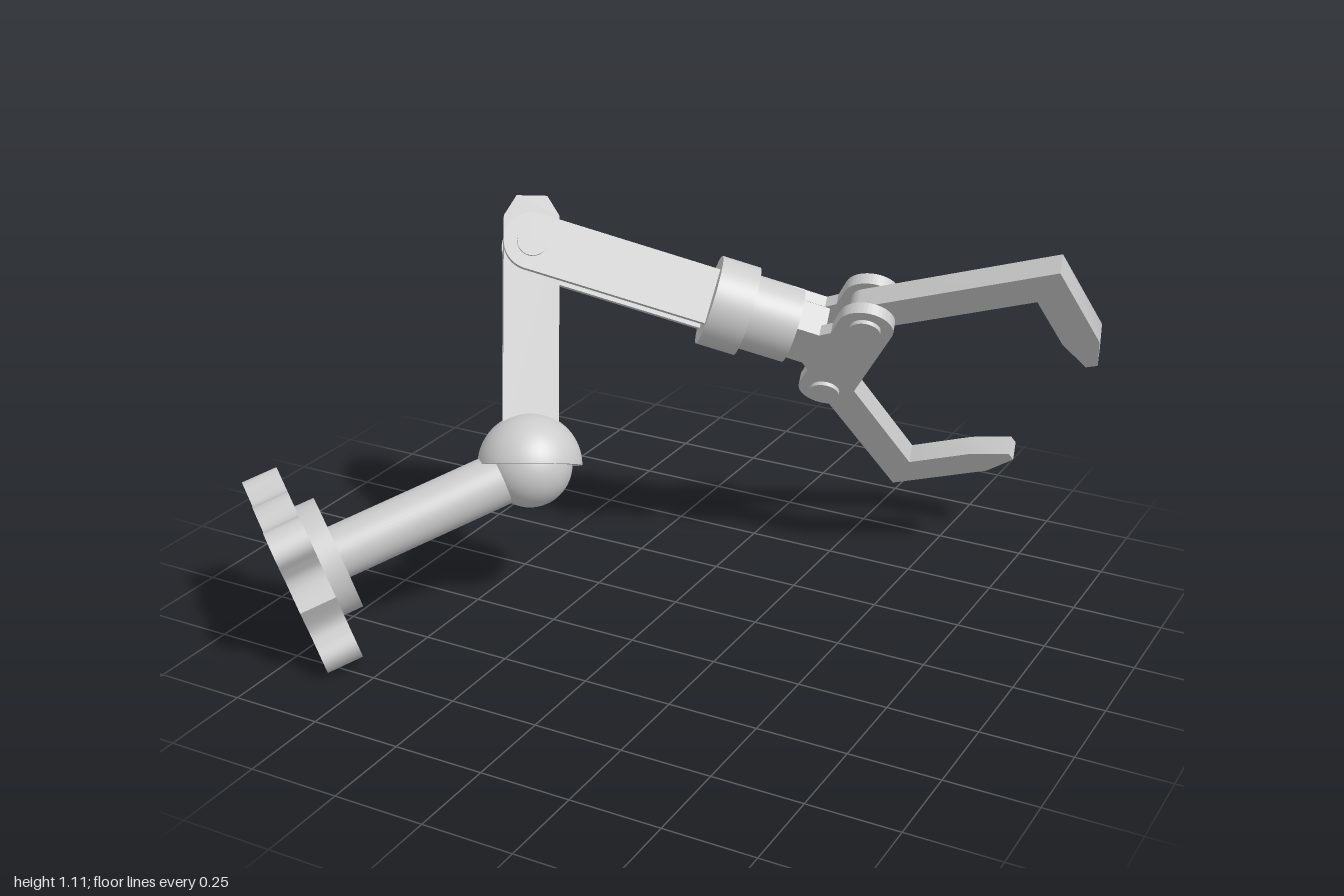
import * as THREE from 'three';
import { toCreasedNormals } from 'three/addons/utils/BufferGeometryUtils.js';

const grey = new THREE.MeshStandardMaterial({ color: 0xcccccc });
const V = (x, y, z) => new THREE.Vector3(x, y, z);

function add(parent, name, geometry, x = 0, y = 0, z = 0) {
  const mesh = new THREE.Mesh(geometry, grey);
  mesh.name = name;
  mesh.position.set(x, y, z);
  parent.add(mesh);
  return mesh;
}

// Group whose local y follows yDir and whose local x lies towards xDir
function frame(parent, name, origin, xDir, yDir) {
  const y = yDir.clone().normalize();
  const z = xDir.clone().cross(y).normalize();
  const x = y.clone().cross(z);
  const group = new THREE.Group();
  group.name = name;
  group.quaternion.setFromRotationMatrix(new THREE.Matrix4().makeBasis(x, y, z));
  group.position.copy(origin);
  parent.add(group);
  return group;
}

// Plate of given thickness centred on local z = 0
function plate(shape, depth) {
  const g = new THREE.ExtrudeGeometry(shape, { depth, bevelEnabled: false, curveSegments: 20 });
  g.translate(0, 0, -depth / 2);
  return toCreasedNormals(g, 0.5);
}

const polygon = (pts) => new THREE.Shape(pts.map(([x, y]) => new THREE.Vector2(x, y)));
const cylinder = (r, h) => new THREE.CylinderGeometry(r, r, h, 48);
const pin = (r, h) => cylinder(r, h).rotateX(Math.PI / 2);
const drum = (r, h) => cylinder(r, h).rotateZ(Math.PI / 2);

export function createModel() {
  const root = new THREE.Group();
  root.name = 'roboticArm';

  // Joint positions and limb directions
  const baseCentre = V(-0.765, 0.24, 0.685);
  const ball = V(-0.34, 0.445, 0.207);
  const elbow = V(-0.467, 0.988, -0.03);
  const foreDir = V(0.848, -0.304, -0.435);
  const armDir = elbow.clone().sub(ball);
  const rodDir = ball.clone().sub(baseCentre);
  const rodLen = rodDir.length();
  const armLen = armDir.length();

  // Base: four-lobed plate, recessed collar and rod
  const base = frame(root, 'base', baseCentre, V(0.747, 0, 0.664), rodDir);
  const outline = [];
  const radii = [0.222, 0.205, 0.235, 0.277, 0.288, 0.277, 0.235, 0.205];
  const angles = [0, 21, 30, 36, 45, 54, 60, 69];
  for (let q = 0; q < 4; q++) {
    radii.forEach((r, i) => {
      const t = THREE.MathUtils.degToRad(angles[i] + q * 90);
      outline.push(new THREE.Vector2(r * Math.cos(t), r * Math.sin(t)));
    });
  }
  const loop = new THREE.SplineCurve([...outline, outline[0]]);
  const lobed = new THREE.Shape(loop.getPoints(128).slice(0, -1));
  add(base, 'basePlate', plate(lobed, 0.1).rotateX(-Math.PI / 2));
  const ring = new THREE.Shape().absarc(0, 0, 0.16, 0, Math.PI * 2);
  ring.holes.push(new THREE.Path().absarc(0, 0, 0.115, 0, Math.PI * 2, true));
  add(base, 'baseCollar', plate(ring, 0.06).rotateX(-Math.PI / 2), 0, 0.075);
  add(base, 'baseRod', cylinder(0.074, rodLen), 0, rodLen / 2);

  // Ball joint with hemispherical cap, and the upper arm bar
  const arm = frame(root, 'upperArm', ball, foreDir, armDir);
  add(arm, 'jointBall', new THREE.SphereGeometry(0.116, 48, 32));
  add(arm, 'jointCap', new THREE.SphereGeometry(0.143, 48, 24, 0, Math.PI * 2, 0, Math.PI / 2));
  add(arm, 'jointCapRim', new THREE.CircleGeometry(0.143, 48).rotateX(Math.PI / 2));
  const w = 0.076, top = armLen + 0.13;
  add(arm, 'upperArmBar', plate(polygon([
    [-w, 0.05], [w, 0.05], [w, top - 0.055], [0.042, top], [-0.042, top], [-w, top - 0.055],
  ]), 0.072));

  // Forearm: two fork bars, elbow pin and wrist drums
  const fore = frame(root, 'forearm', elbow, foreDir, V(0.02, 0.837, -0.548));
  const bar = new THREE.Shape();
  bar.moveTo(0.56, 0.078);
  bar.lineTo(0, 0.078);
  bar.absarc(0, 0, 0.078, Math.PI / 2, Math.PI * 1.5);
  bar.lineTo(0.56, -0.078);
  for (const s of [-1, 1]) add(fore, 'forkBar', plate(bar, 0.03), 0, 0, s * 0.052);
  add(fore, 'elbowPin', pin(0.042, 0.156));
  add(fore, 'wristRing', drum(0.127, 0.11), 0.57);
  add(fore, 'wristDrum', drum(0.106, 0.15), 0.685);

  // Gripper: paired T-shaped palm plates holding two fingers
  const grip = frame(root, 'gripper', V(0.312, 0.709, -0.44), foreDir, V(0.507, 0.74, 0.438));
  const reach = 0.182, r = 0.076;
  const palm = new THREE.Shape();
  palm.moveTo(-0.2, -0.08);
  palm.lineTo(-0.1, -0.08);
  palm.lineTo(-r, -0.11);
  palm.lineTo(-r, -reach);
  palm.absarc(0, -reach, r, Math.PI, Math.PI * 2);
  palm.lineTo(r, reach);
  palm.absarc(0, reach, r, 0, Math.PI);
  palm.lineTo(-r, 0.11);
  palm.lineTo(-0.1, 0.08);
  palm.lineTo(-0.2, 0.08);
  for (const s of [-1, 1]) add(grip, 'palmPlate', plate(palm, 0.034), 0, 0, s * 0.048);
  add(grip, 'palmStem', new THREE.BoxGeometry(0.11, 0.158, 0.1), -0.14);

  // Bent finger with rounded root and tapered tip
  const finger = new THREE.Shape();
  finger.moveTo(0.038, 0.146);
  finger.lineTo(0.365, 0.495);
  finger.lineTo(0.5, 0.345);
  finger.lineTo(0.598, 0.276);
  finger.lineTo(0.622, 0.3);
  finger.lineTo(0.58, 0.407);
  finger.lineTo(0.365, 0.645);
  finger.lineTo(-0.038, 0.218);
  finger.absarc(0, reach, 0.0525, 2.38, 2.38 + Math.PI);
  for (const s of [-1, 1]) {
    const f = add(grip, s > 0 ? 'upperFinger' : 'lowerFinger', plate(finger, 0.06));
    if (s < 0) f.rotation.x = Math.PI;
    add(grip, 'fingerPin', pin(0.042, 0.154), 0, s * reach);
  }
  return root;
}
